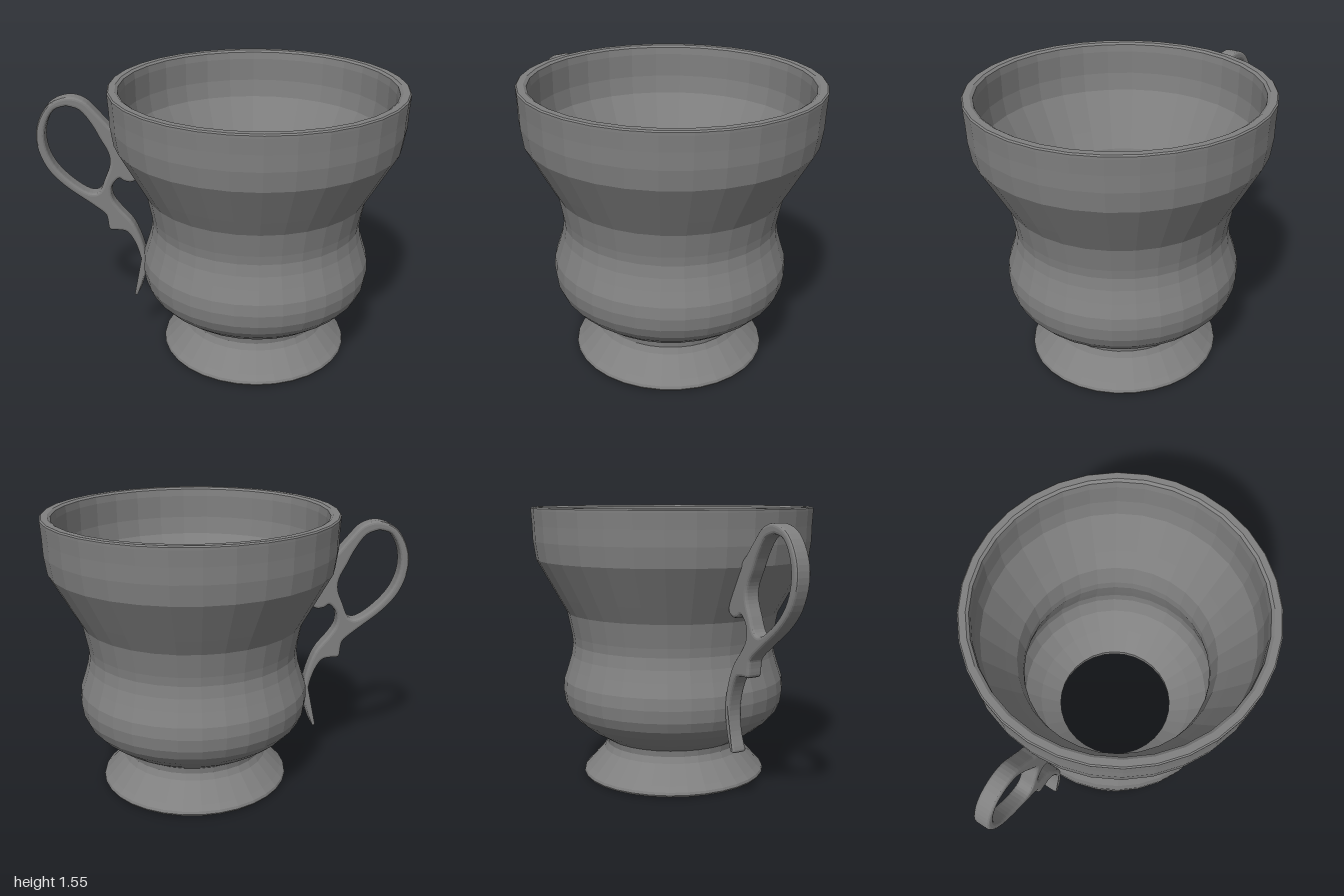
import * as THREE from 'three';

const material = new THREE.MeshStandardMaterial({ color: 0x808080, flatShading: true });
const toPoints = (pairs) => pairs.map(([x, y]) => new THREE.Vector2(x, y));
const smoothLoop = (pairs, samples) => {
  const points = toPoints(pairs);
  points.push(points[0].clone());
  return new THREE.SplineCurve(points).getPoints(samples).slice(0, -1);
};

// Hollow cup wall: up the outside, over the rim, down the inside, out under the foot
function createCup() {
  const outside = [
    [0.5, 0], [0.525, 0.005], [0.53, 0.015], [0.525, 0.03], [0.5, 0.055], [0.41, 0.155],
    [0.395, 0.19], [0.4, 0.225], [0.49, 0.28], [0.56, 0.335], [0.605, 0.385], [0.63, 0.44],
    [0.64, 0.51], [0.635, 0.575], [0.61, 0.65], [0.59, 0.715], [0.58, 0.78], [0.585, 0.83],
    [0.61, 0.96], [0.66, 1.05], [0.775, 1.26], [0.79, 1.365], [0.792, 1.45], [0.797, 1.53],
    [0.797, 1.543], [0.79, 1.55],
  ];
  const inside = [
    [0.755, 1.55], [0.74, 1.54], [0.735, 1.5], [0.735, 1.37], [0.72, 1.27], [0.61, 1.06],
    [0.555, 0.96], [0.53, 0.83], [0.53, 0.77], [0.56, 0.65], [0.585, 0.56], [0.585, 0.5],
    [0.55, 0.41], [0.46, 0.32], [0.342, 0.23], [0.345, 0.19], [0.365, 0.15], [0.47, 0.035],
    [0.49, 0.005], [0.5, 0],
  ];
  const cup = new THREE.Mesh(new THREE.LatheGeometry(toPoints([...outside, ...inside]), 32), material);
  cup.name = 'cup';
  cup.position.x = 0.2;
  return cup;
}

// Scrolled handle: one outline with the finger loop cut out and softened edges
function createHandle() {
  const outline = [
    [-0.6, 1.325], [-0.66, 1.395], [-0.73, 1.465], [-0.82, 1.485], [-0.92, 1.44], [-0.985, 1.33],
    [-0.995, 1.21], [-0.95, 1.08], [-0.86, 0.975], [-0.73, 0.875], [-0.65, 0.81], [-0.635, 0.77],
    [-0.625, 0.71], [-0.58, 0.705], [-0.525, 0.69], [-0.48, 0.61], [-0.455, 0.5], [-0.467, 0.39],
    [-0.5, 0.295], [-0.485, 0.288], [-0.45, 0.36], [-0.425, 0.48], [-0.435, 0.6], [-0.485, 0.74],
    [-0.56, 0.835], [-0.6, 0.9], [-0.6, 0.97], [-0.56, 1.02], [-0.53, 1.005], [-0.485, 1.0],
    [-0.45, 1.035], [-0.48, 1.13], [-0.55, 1.27],
  ];
  const loop = [
    [-0.82, 1.435], [-0.75, 1.41], [-0.69, 1.33], [-0.65, 1.25], [-0.61, 1.17], [-0.605, 1.1],
    [-0.635, 1.02], [-0.67, 0.945], [-0.73, 0.935], [-0.83, 1.005], [-0.91, 1.1], [-0.948, 1.21],
    [-0.94, 1.32], [-0.89, 1.41],
  ];
  const shape = new THREE.Shape(smoothLoop(outline, 132));
  shape.holes.push(new THREE.Path(smoothLoop(loop, 56)));
  const bevel = 0.016;
  const geometry = new THREE.ExtrudeGeometry(shape, {
    depth: 0.09 - 2 * bevel,
    bevelEnabled: true,
    bevelThickness: bevel,
    bevelSize: bevel,
    bevelOffset: -bevel,
    bevelSegments: 3,
  });
  const handle = new THREE.Mesh(geometry, material);
  handle.name = 'handle';
  handle.position.z = -0.063 + bevel;
  return handle;
}

export function createModel() {
  const model = new THREE.Group();
  model.name = 'teacup';
  model.add(createCup(), createHandle());
  return model;
}
